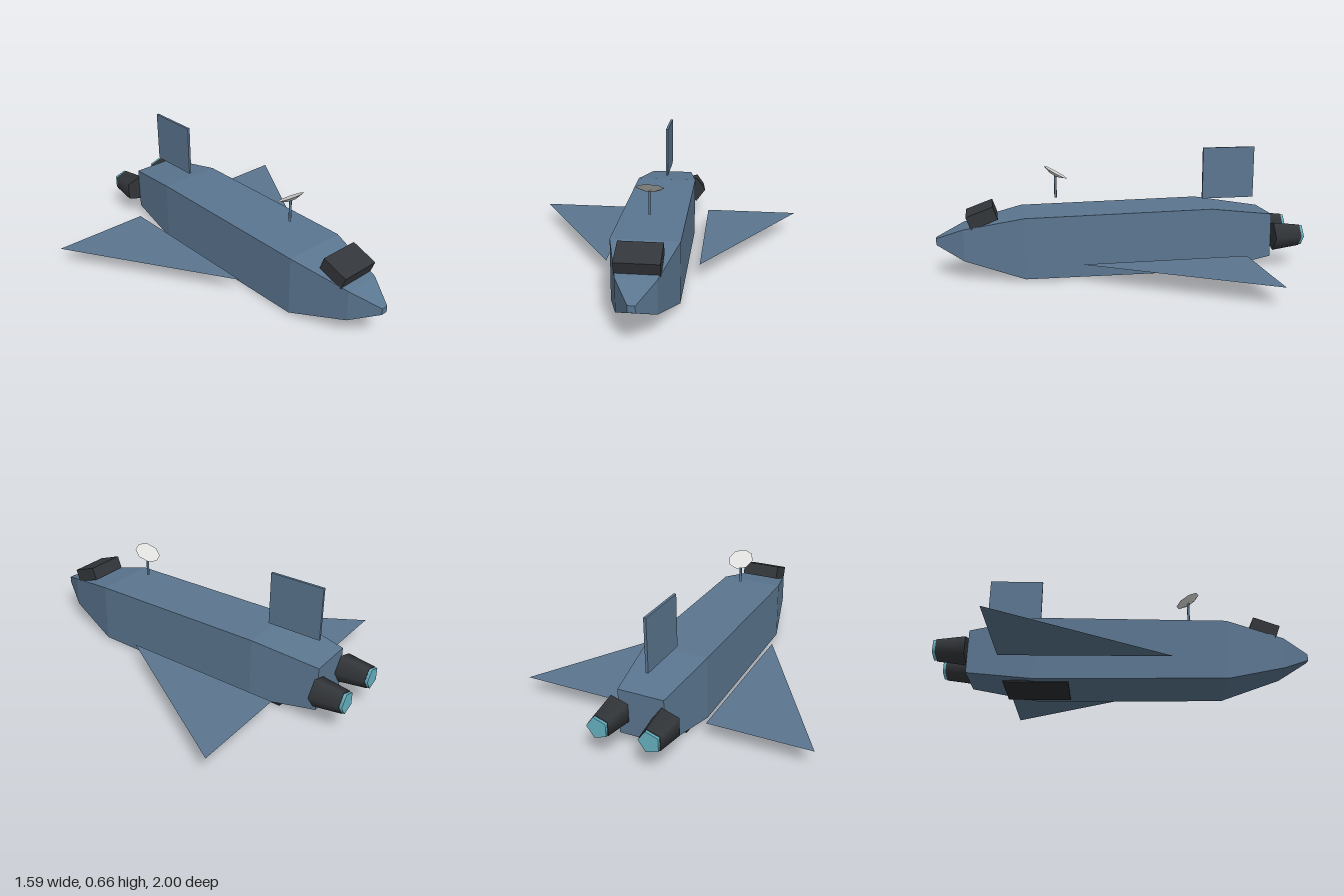
import * as THREE from 'three';

const mat = (name, color, extra = {}) => new THREE.MeshStandardMaterial({ name, color, ...extra });

export function createModel() {
  const hullBlue = mat('hullBlue', 0x5b7690, { side: THREE.DoubleSide });
  const darkGrey = mat('darkGrey', 0x33363a);
  const bayBlack = mat('bayBlack', 0x2a2d30);
  const glowCyan = mat('glowCyan', 0x68b2c2);
  const dishWhite = mat('dishWhite', 0xe0e0de);

  const root = new THREE.Group();
  root.name = 'spaceShuttle';
  const add = (name, geometry, material, x = 0, y = 0, z = 0, rx = 0) => {
    const mesh = new THREE.Mesh(geometry, material);
    mesh.name = name;
    mesh.position.set(x, y, z);
    mesh.rotation.x = rx;
    root.add(mesh);
    return mesh;
  };

  // Fuselage: rectangular sections from nose to tail [z, half width, bottom, top]
  const sections = [
    [1, 0.018, 0.18, 0.215],
    [0.855, 0.097, 0.105, 0.275],
    [0.54, 0.174, 0.012, 0.34],
    [-0.47, 0.174, 0.003, 0.35],
    [-0.83, 0.123, 0.055, 0.297],
  ];
  const rings = sections.map(([z, w, b, t]) => [[-w, b, z], [w, b, z], [w, t, z], [-w, t, z]]);
  const points = [];
  const quad = (a, b, c, d) => points.push(...a, ...b, ...c, ...a, ...c, ...d);
  quad(...rings[0]);
  for (let s = 0; s < rings.length - 1; s++) {
    for (let i = 0; i < 4; i++) {
      const j = (i + 1) % 4;
      quad(rings[s][i], rings[s + 1][i], rings[s + 1][j], rings[s][j]);
    }
  }
  quad(...[...rings[rings.length - 1]].reverse());
  const hull = new THREE.BufferGeometry();
  hull.setAttribute('position', new THREE.Float32BufferAttribute(points, 3));
  hull.computeVertexNormals();
  add('fuselage', hull, hullBlue);

  // Thin triangular wings and the engines, one per side
  for (const [side, label] of [[1, 'left'], [-1, 'right']]) {
    const outline = new THREE.Shape([
      new THREE.Vector2(side * 0.25, -0.25),
      new THREE.Vector2(side * 0.795, 0.65),
      new THREE.Vector2(side * 0.25, 0.65),
    ]);
    add(label + 'Wing', new THREE.ShapeGeometry(outline).rotateX(-Math.PI / 2), hullBlue, 0, 0.1, 0);

    // Five-sided nozzle, narrow end at the back, a corner pointing to +x
    const nozzle = (rBack, rFront, length) =>
      new THREE.CylinderGeometry(rBack, rFront, length, 5).rotateY(-Math.PI / 2 + Math.PI).rotateX(-Math.PI / 2);
    const turn = (geometry) => geometry;
    const x = side * 0.136;
    add(label + 'Engine', turn(nozzle(0.062, 0.082, 0.155)), darkGrey, x, 0.178, -0.9075);
    add(label + 'EngineGlow', turn(nozzle(0.058, 0.058, 0.03)), glowCyan, x, 0.178, -0.985);
  }

  // Upright tail fin
  add('tailFin', new THREE.BoxGeometry(0.014, 0.286, 0.296), hullBlue, 0, 0.518, -0.612);

  // Tilted cockpit block on the nose
  add('cockpit', new THREE.BoxGeometry(0.218, 0.073, 0.15), darkGrey, 0, 0.334, 0.757, 0.35);

  // Cargo bay door under the tail
  add('cargoDoor', new THREE.BoxGeometry(0.27, 0.01, 0.34), bayBlack, 0, 0.005, -0.462);

  // Dish antenna on its post
  add('antennaPost', new THREE.CylinderGeometry(0.007, 0.007, 0.125, 8), hullBlue, 0, 0.473, 0.36);
  add('antennaDish', new THREE.CylinderGeometry(0.073, 0.03, 0.016, 8), dishWhite, 0, 0.542, 0.362, -0.52);

  return root;
}
